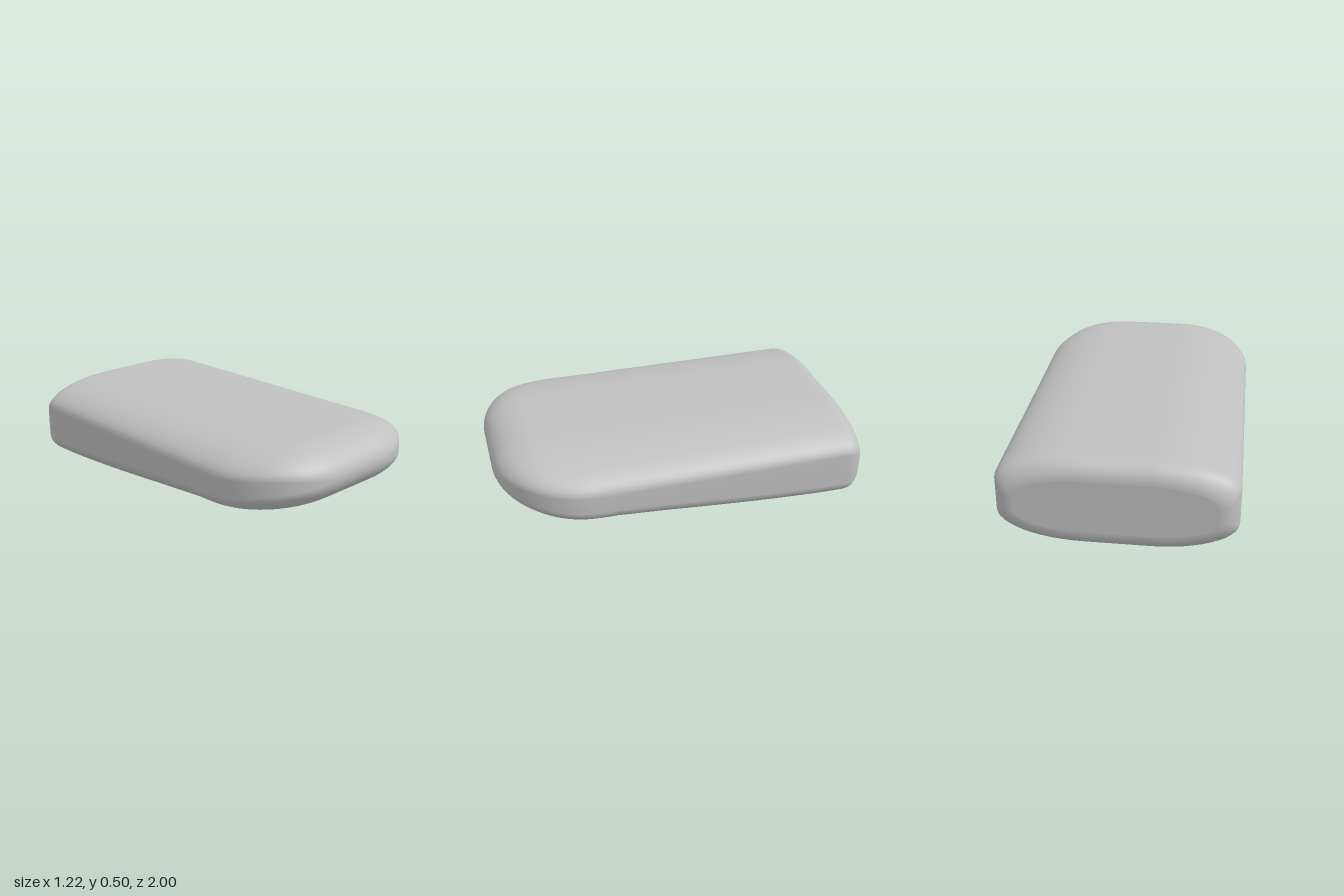
import * as THREE from 'three';
import { mergeVertices } from 'three/addons/utils/BufferGeometryUtils.js';

const HALF_WIDTH = 0.612, FLAT = 0.17, CORNER_STEPS = 12, TIP_Y = 0.35;
const arc = (u) => Math.sqrt(Math.max(0, 1 - u * u));
const over = (z, from) => Math.max(0, (z - from) / (1 - from));

// Outline rules along the length: plan width, top edge and underside
const widthAt = (z) => FLAT + (HALF_WIDTH - FLAT) * arc(over(z, 0.53));
const topAt = (z) => TIP_Y + 0.147 * arc(over(z, 0.77));
const bottomAt = (z) => z > 0.4
  ? TIP_Y - 0.25 * arc(over(z, 0.4))
  : 0.002 + 0.098 * Math.pow(Math.max(0, (z + 0.85) / 1.25), 1.4);

// One cross-section: a rounded slab with wide elliptical corners
function section(z, inset = 0) {
  const w = widthAt(z) - inset, top = topAt(z) - inset, bottom = bottomAt(z) + inset;
  const rx = w - FLAT, ryTop = Math.min(0.15, (top - bottom) * 0.375);
  const ryBottom = Math.min(0.16, (top - bottom) * 0.375);
  const ring = [];
  for (let q = 0; q < 4; q++) {
    const sx = q === 0 || q === 3 ? 1 : -1;
    const cy = q < 2 ? top - ryTop : bottom + ryBottom;
    const ry = q < 2 ? ryTop : ryBottom;
    for (let k = 0; k <= CORNER_STEPS; k++) {
      const a = (q + k / CORNER_STEPS) * Math.PI / 2;
      ring.push([sx * FLAT + rx * Math.cos(a), cy + ry * Math.sin(a), z]);
    }
  }
  return ring;
}

// Joins the sections from back to front
function loft(rings) {
  const n = rings[0].length, index = [];
  for (let i = 0; i < rings.length - 1; i++) {
    for (let k = 0; k < n; k++) {
      const a = i * n + k, b = i * n + (k + 1) % n;
      index.push(a, b, b + n, a, b + n, a + n);
    }
  }
  const geometry = new THREE.BufferGeometry();
  geometry.setAttribute('position', new THREE.Float32BufferAttribute(rings.flat(2), 3));
  geometry.setIndex(index);
  const merged = mergeVertices(geometry, 1e-5);
  merged.computeVertexNormals();
  return merged;
}

export function createModel() {
  const group = new THREE.Group();
  group.name = 'roundedSlab';
  const grey = new THREE.MeshStandardMaterial({ color: 0xc0c0c0 });
  grey.name = 'plain grey';

  const rings = [];
  // Rounded rear edge
  const R = 0.1;
  for (let i = 8; i > 0; i--) {
    const t = i / 8 * Math.PI / 2;
    rings.push(section(-1 + R - R * Math.sin(t), R * (1 - Math.cos(t))));
  }
  // Long middle with a gently sloping underside
  for (let i = 0; i < 20; i++) rings.push(section(-0.9 + 1.3 * i / 20));
  // Nose, with sections closer together towards the tip
  for (let i = 0; i <= 32; i++) rings.push(section(0.4 + 0.6 * Math.sin(i / 32 * Math.PI / 2)));

  const body = new THREE.Mesh(loft(rings), grey);
  body.name = 'body';
  group.add(body);

  // Flat rear face
  const outline = rings[0].map(([x, y]) => new THREE.Vector2(-x, y));
  const rear = new THREE.Mesh(new THREE.ShapeGeometry(new THREE.Shape(outline)), grey);
  rear.name = 'rearFace';
  rear.rotation.y = Math.PI;
  rear.position.z = -1;
  group.add(rear);
  return group;
}
